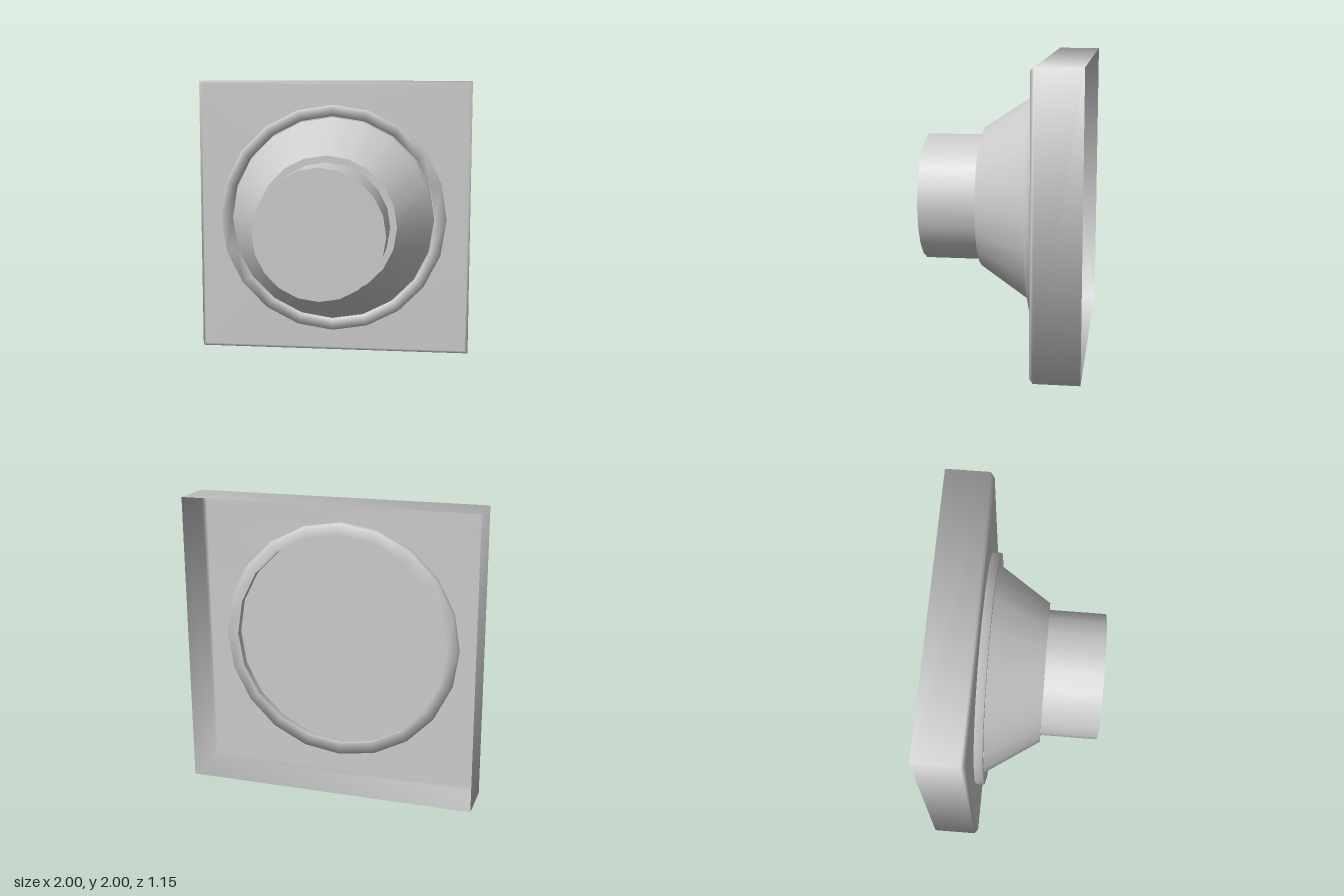
import * as THREE from 'three';
import { mergeGeometries } from 'three/addons/utils/BufferGeometryUtils.js';

const SIDES = 20;
const CENTRE_Y = 1;

export function createModel() {
  const model = new THREE.Group();
  const material = new THREE.MeshStandardMaterial({ color: 0xcccccc, side: THREE.DoubleSide });

  function add(name, geometry) {
    const mesh = new THREE.Mesh(geometry, material);
    mesh.name = name;
    mesh.position.y = CENTRE_Y;
    model.add(mesh);
  }

  // Profile of [radius, z] pairs spun around the z axis, smooth throughout
  function spin(profile, sides = SIDES, start = 0) {
    const points = profile.map(([r, z]) => new THREE.Vector2(r, z));
    return new THREE.LatheGeometry(points, sides, start).rotateX(Math.PI / 2);
  }

  // Same, but with a sharp edge at every profile point
  function spinSharp(profile) {
    return mergeGeometries(profile.slice(1).map((p, i) => spin([profile[i], p])));
  }

  // Square housing, open at the back, with a softly chamfered front plate
  const diag = Math.SQRT2;
  add('housing', spin(
    [[diag, -0.575], [diag, -0.272], [0.975 * diag, -0.246], [0, -0.246]],
    4, Math.PI / 4));

  // Ring set through the plate, standing proud on both sides
  add('ring', spin([[0.75, -0.3], [0.83, -0.3], [0.83, -0.19], [0.75, -0.19], [0.75, -0.3]]));

  // Cone with a short straight foot and a flat shoulder
  add('cone', spinSharp([[0.74, -0.246], [0.74, -0.19], [0.495, 0.178], [0.447, 0.178]]));

  // Round knob
  add('knob', spinSharp([[0.447, 0.178], [0.447, 0.577], [0, 0.577]]));

  return model;
}
